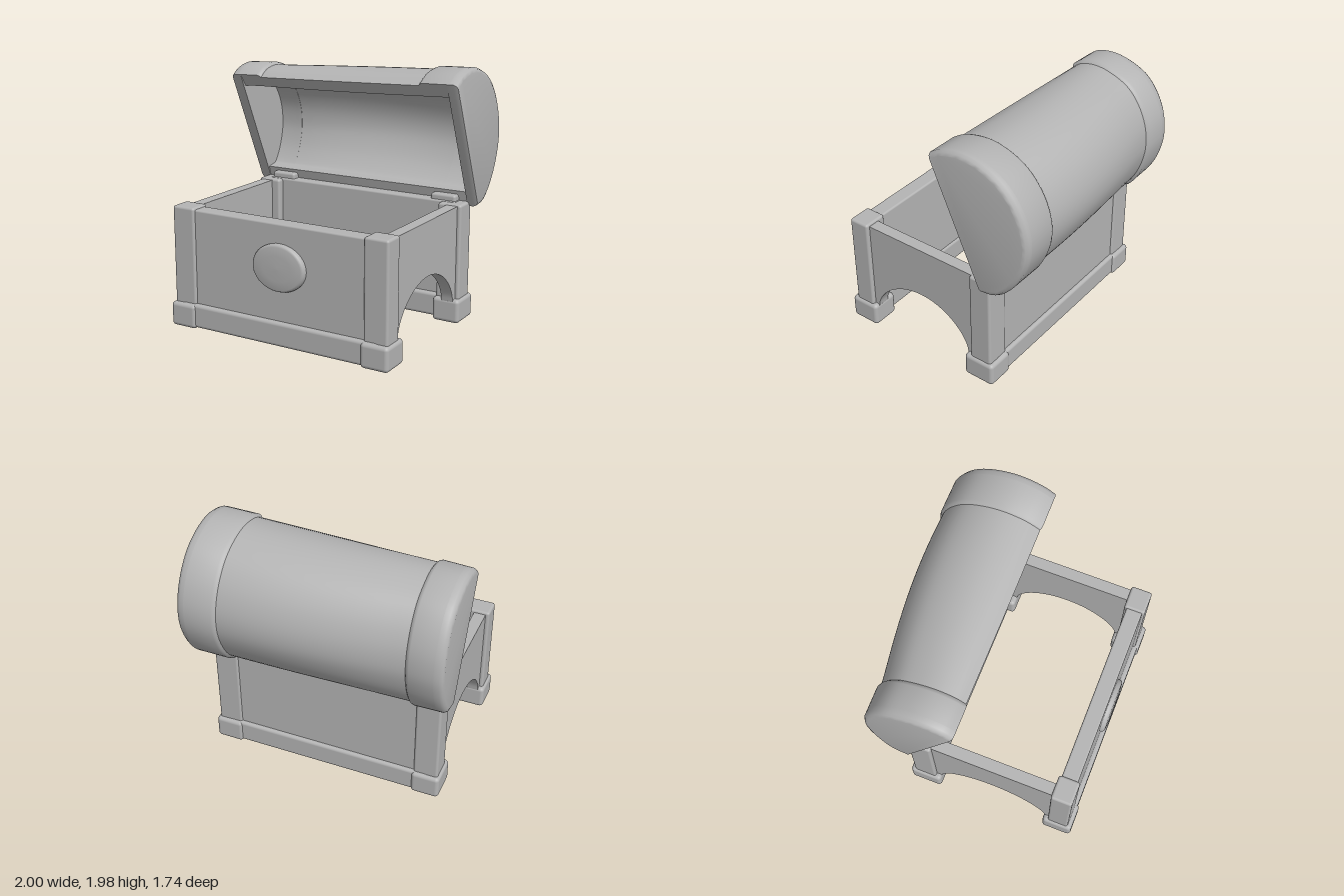
import * as THREE from 'three';
import { toCreasedNormals } from 'three/addons/utils/BufferGeometryUtils.js';
import { RoundedBoxGeometry } from 'three/addons/geometries/RoundedBoxGeometry.js';

const grey = new THREE.MeshStandardMaterial({ color: 0xb4b4b4 });
grey.name = 'stone grey';

// Lid outline as [z, y], from the hinge round the back to the front lip
const LID_LEFT = [[-0.47, 0.9], [-0.6, 0.94], [-0.7, 1.09], [-0.755, 1.26], [-0.765, 1.4], [-0.74, 1.55],
  [-0.67, 1.7], [-0.56, 1.82], [-0.4, 1.89], [-0.26, 1.91], [-0.13, 1.885], [-0.05, 1.83]];
const LID_RIGHT = [[-0.47, 0.9], [-0.61, 0.93], [-0.75, 1.07], [-0.84, 1.25], [-0.87, 1.41], [-0.85, 1.57],
  [-0.78, 1.73], [-0.66, 1.87], [-0.5, 1.955], [-0.33, 1.985], [-0.16, 1.955], [-0.045, 1.89]];

// Outline at a given x, moved outwards by off; the lid swells towards +x
function lidArc(x, off) {
  const ky = (x + 1) / 2;
  const u = THREE.MathUtils.clamp((x + 0.72) / 1.4, 0, 1);
  const kz = 1.08 * Math.sin(u * 0.62 * Math.PI);
  const curve = new THREE.SplineCurve(LID_LEFT.map(([z, y], i) => new THREE.Vector2(
    THREE.MathUtils.lerp(z, LID_RIGHT[i][0], kz),
    THREE.MathUtils.lerp(y, LID_RIGHT[i][1], ky))));
  const points = [];
  for (let i = 0; i <= 44; i++) {
    const p = curve.getPoint(i / 44);
    const t = curve.getTangent(i / 44);
    points.push([p.x - t.y * off, p.y + t.x * off]);
  }
  return points;
}

// Hollow section between two offsets, or a solid one
const shellRing = (x, outer, inner) => [...lidArc(x, outer), ...lidArc(x, inner).reverse()];

// Skin over rings of [z, y] placed at rising x, closed at both ends
function loft(sections) {
  const positions = [];
  const put = (x, [z, y]) => positions.push(x, y, z);
  for (let j = 0; j < sections.length - 1; j++) {
    const { x: x0, ring: r0 } = sections[j];
    const { x: x1, ring: r1 } = sections[j + 1];
    for (let i = 0; i < r0.length; i++) {
      const n = (i + 1) % r0.length;
      put(x0, r0[i]); put(x0, r0[n]); put(x1, r1[n]);
      put(x0, r0[i]); put(x1, r1[n]); put(x1, r1[i]);
    }
  }
  const cap = ({ x, ring }, flip) => {
    const outline = ring.map(([z, y]) => new THREE.Vector2(-z, y));
    for (const f of THREE.ShapeUtils.triangulateShape(outline, [])) {
      for (const i of flip ? [f[0], f[2], f[1]] : f) put(x, ring[i]);
    }
  };
  cap(sections[0], true);
  cap(sections[sections.length - 1], false);
  const geometry = new THREE.BufferGeometry();
  geometry.setAttribute('position', new THREE.Float32BufferAttribute(positions, 3));
  return toCreasedNormals(geometry, 0.65);
}

function add(parent, name, geometry) {
  const mesh = new THREE.Mesh(geometry, grey);
  mesh.name = name;
  parent.add(mesh);
  return mesh;
}

// Rounded block given by its limits on each axis
function block(parent, name, [x0, x1], [y0, y1], [z0, z1], radius = 0.015) {
  const mesh = add(parent, name, new RoundedBoxGeometry(x1 - x0, y1 - y0, z1 - z0, 3, radius));
  mesh.position.set((x0 + x1) / 2, (y0 + y1) / 2, (z0 + z1) / 2);
  return mesh;
}

function buildBody() {
  const body = new THREE.Group();
  body.name = 'body';

  // Front and back walls with their base mouldings
  block(body, 'frontWall', [-0.85, 0.85], [0.05, 0.93], [0.68, 0.81]);
  block(body, 'backWall', [-0.85, 0.85], [0.05, 0.94], [-0.485, -0.37]);
  block(body, 'frontMoulding', [-0.85, 0.85], [0.01, 0.195], [0.665, 0.85], 0.025);
  block(body, 'backMoulding', [-0.85, 0.85], [0.01, 0.195], [-0.515, -0.33], 0.025);

  // Side wall with an arched cut-out, drawn in (z, y)
  const side = new THREE.Shape();
  side.moveTo(0.72, 0.925);
  side.lineTo(-0.42, 0.925);
  side.lineTo(-0.42, 0.12);
  side.lineTo(-0.28, 0.12);
  side.lineTo(-0.27, 0.2);
  side.bezierCurveTo(-0.25, 0.32, -0.08, 0.505, 0.17, 0.505);
  side.bezierCurveTo(0.42, 0.505, 0.6, 0.32, 0.62, 0.2);
  side.lineTo(0.63, 0.12);
  side.lineTo(0.72, 0.12);
  side.closePath();
  const sideGeometry = toCreasedNormals(new THREE.ExtrudeGeometry(side,
    { depth: 0.095, bevelEnabled: false, curveSegments: 20 }), 0.6);
  sideGeometry.rotateY(-Math.PI / 2);
  for (const s of [-1, 1]) {
    const wall = add(body, s > 0 ? 'leftSideWall' : 'rightSideWall', sideGeometry);
    wall.position.x = s > 0 ? 0.895 : -0.8;

    // Corner posts and feet
    const span = (a, b) => (s > 0 ? [a, b] : [-b, -a]);
    block(body, 'frontPost', span(0.73, 0.925), [0.1, 0.945], [0.66, 0.83], 0.02);
    block(body, 'backPost', span(0.73, 0.925), [0.1, 0.935], [-0.5, -0.315], 0.02);
    block(body, 'frontFoot', span(0.72, 0.945), [0, 0.19], [0.62, 0.865], 0.03);
    block(body, 'backFoot', span(0.72, 0.945), [0, 0.19], [-0.53, -0.27], 0.03);

    // Hinges
    block(body, 'hinge', span(0.63, 0.84), [0.92, 0.985], [-0.48, -0.39], 0.02);
  }

  // Oval boss on the front wall
  const profile = [[0.225, 0], [0.225, 0.02], [0.217, 0.036], [0.2, 0.045], [0.12, 0.051], [0, 0.053]];
  const boss = new THREE.LatheGeometry(profile.map(([r, h]) => new THREE.Vector2(r, h)), 48);
  boss.rotateX(Math.PI / 2);
  boss.scale(1, 0.8, 1);
  add(body, 'ovalBoss', boss).position.set(0.03, 0.605, 0.805);
  return body;
}

function buildLid() {
  const lid = new THREE.Group();
  lid.name = 'lid';

  // Curved middle shell
  const middle = [];
  for (let i = 0; i <= 14; i++) {
    const x = -0.74 + (1.44 * i) / 14;
    middle.push({ x, ring: shellRing(x, -0.02, -0.115) });
  }
  add(lid, 'lidShell', loft(middle));

  // Raised bands and solid end panels
  const band = (stops) => loft(stops.map(([x, off]) => ({ x, ring: shellRing(x, off, -0.115) })));
  const panel = (stops) => loft(stops.map(([x, off]) => ({ x, ring: lidArc(x, off) })));
  add(lid, 'rightBand', band([[-0.93, 0], [-0.75, 0.002], [-0.73, -0.006], [-0.715, -0.025]]));
  add(lid, 'leftBand', band([[0.675, -0.025], [0.69, -0.006], [0.71, 0.002], [0.93, 0]]));
  add(lid, 'rightEndPanel', panel([[-1, -0.035], [-0.992, -0.014], [-0.97, 0], [-0.91, 0]]));
  add(lid, 'leftEndPanel', panel([[0.91, 0], [0.96, 0], [0.985, -0.014], [0.995, -0.035]]));
  return lid;
}

export function createModel() {
  const chest = new THREE.Group();
  chest.name = 'openChest';
  chest.add(buildBody(), buildLid());
  return chest;
}
